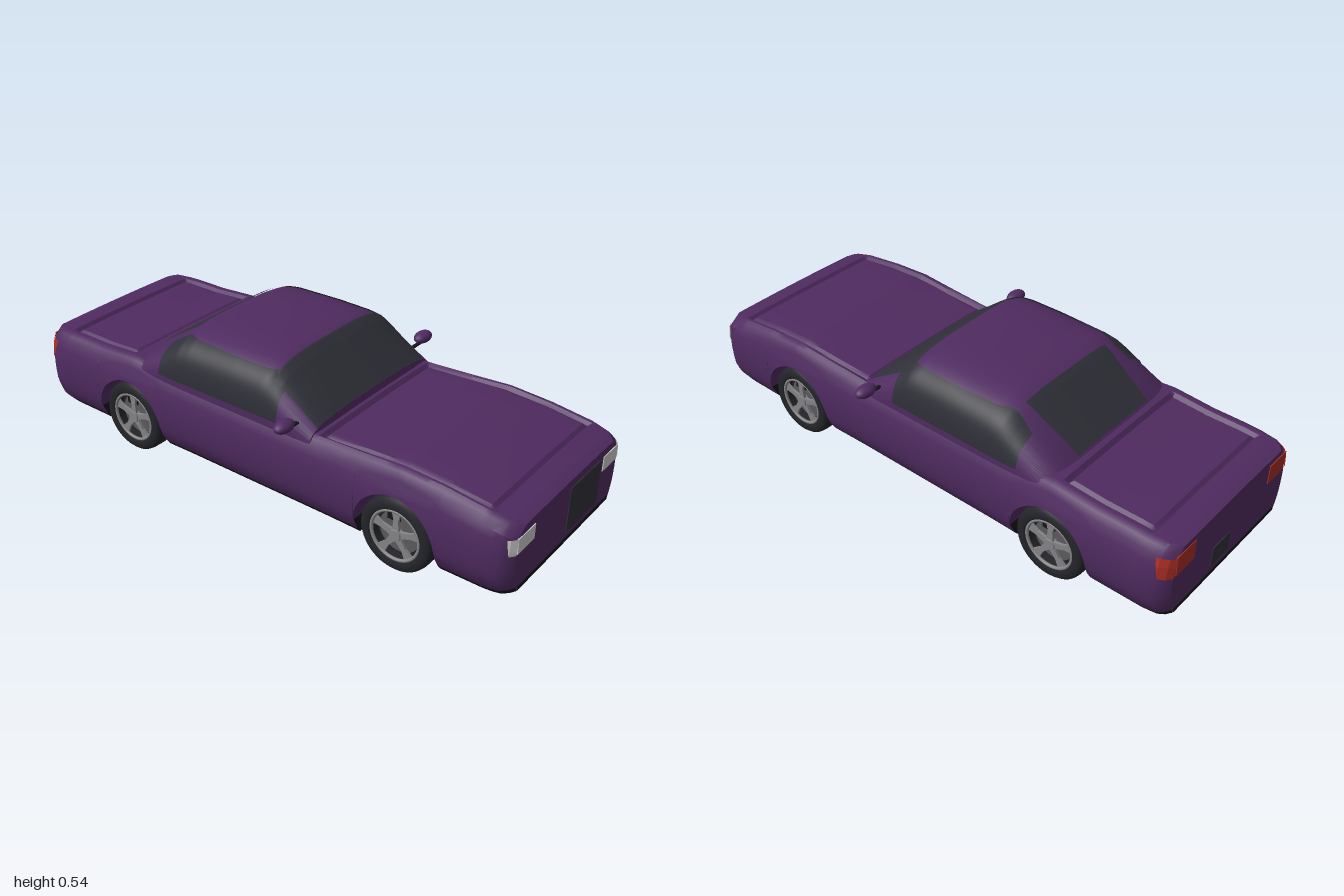
import * as THREE from 'three';
import { toCreasedNormals } from 'three/addons/utils/BufferGeometryUtils.js';
import { ParametricGeometry } from 'three/addons/geometries/ParametricGeometry.js';

const mat = (name, color, side = THREE.FrontSide) => {
  const m = new THREE.MeshStandardMaterial({ color, side });
  m.name = name;
  return m;
};

// Linear interpolation in a list of [x, value] pairs
function curve(table, x) {
  if (x <= table[0][0]) return table[0][1];
  for (let i = 1; i < table.length; i++) {
    const [x0, v0] = table[i - 1], [x1, v1] = table[i];
    if (x <= x1) return v0 + (v1 - v0) * (x - x0) / (x1 - x0);
  }
  return table[table.length - 1][1];
}

// Closed loft along x. half(x) lists [z, y] from bottom centre over the +z side to top centre.
// group(j, x) picks material 0 or 1 for a half-section segment.
function loft(stations, half, group) {
  const pos = [], tris = [[], []];
  let n = 0, m = 0;
  for (const x of stations) {
    const h = half(x);
    m = h.length;
    const loop = [...h, ...h.slice(1, -1).reverse().map(([z, y]) => [-z, y])];
    n = loop.length;
    for (const [z, y] of loop) pos.push(x, y, z);
  }
  const last = stations.length - 1;
  const seg = (j) => (j < m - 1 ? j : n - 1 - j);
  for (let i = 0; i < last; i++) for (let j = 0; j < n; j++) {
    const k = (j + 1) % n, a = i * n + j, b = a + n, c = (i + 1) * n + k, d = i * n + k;
    tris[group(seg(j), (stations[i] + stations[i + 1]) / 2)].push(a, b, c, a, c, d);
  }
  for (const i of [0, last]) {
    const c = pos.length / 3;
    pos.push(stations[i], 0.2 + (pos[i * n * 3 + 1] > 0.2 ? 0.12 : 0), 0);
    for (let j = 0; j < n; j++) {
      const a = i * n + j, b = i * n + (j + 1) % n;
      tris[0].push(c, ...(i ? [b, a] : [a, b]));
    }
  }
  const g = new THREE.BufferGeometry();
  g.setAttribute('position', new THREE.Float32BufferAttribute(pos, 3));
  g.setIndex([...tris[0], ...tris[1]]);
  g.addGroup(0, tris[0].length, 0);
  g.addGroup(tris[0].length, tris[1].length, 1);
  return toCreasedNormals(g, 0.6);
}

// Body rules
const AXLES = [-0.565, 0.595], ARCH = 0.152, AXLE_Y = 0.135;
const TOP = [[-1, 0.352], [-0.97, 0.36], [-0.85, 0.366], [-0.72, 0.366], [-0.56, 0.377], [-0.4, 0.365], [0.27, 0.358],
  [0.45, 0.367], [0.6, 0.376], [0.75, 0.368], [0.9, 0.35], [0.97, 0.335], [1, 0.322]];
const PLAN = [[-1, 0.88], [-0.985, 0.935], [-0.96, 0.975], [-0.9, 0.995], [-0.6, 1], [-0.3, 0.985], [0.3, 0.985],
  [0.6, 1], [0.9, 0.995], [0.96, 0.975], [0.985, 0.935], [1, 0.88]];
const SIDE = [[0.065, 0.325], [0.1, 0.352], [0.15, 0.37], [0.2, 0.374], [0.25, 0.373], [0.3, 0.365], [0.34, 0.35], [0.38, 0.335]];
const BOTTOM = [[0.93, 0.065], [1, 0.09]];
const GROOVE = [[-0.012, 0], [0, 0.014], [0.012, 0.004]];
const PANELS = [[0.28, 0.9, 0.3], [-0.9, -0.585, 0.29]];

const bodyZ = (x, y) => curve(PLAN, x) * curve(SIDE, y);
const archAt = (x) => AXLES.find((a) => Math.abs(x - a) <= ARCH + 1e-6);
function topY(x, z) {
  let y = curve(TOP, x) + 0.004 * (1 - (z / 0.32) ** 2);
  for (const [a, b, w] of PANELS) y -= curve(GROOVE, Math.min(x - a, b - x, w - Math.abs(z)));
  return y;
}
function bodyHalf(x) {
  const floor = curve(BOTTOM, Math.abs(x)), axle = archAt(x);
  const low = axle === undefined ? floor : AXLE_Y + Math.sqrt(Math.max(0, ARCH ** 2 - (x - axle) ** 2));
  const sill = Math.max(low, floor + 0.018), shoulder = curve(TOP, x) - 0.03, p = curve(PLAN, x);
  const pts = [[0, floor], [0.24, floor], [0.24, low], [bodyZ(x, low), low]];
  for (let k = 0; k <= 8; k++) {
    const y = sill + (shoulder - sill) * k / 8;
    pts.push([bodyZ(x, y), y]);
  }
  pts.push([0.336 * p, shoulder + 0.021]);
  for (const z of [0.322, 0.312, 0.302, 0.3, 0.29, 0.278, 0.2, 0.1, 0]) pts.push([z * p, topY(x, z * p)]);
  return pts;
}
function bodyStations() {
  const s = [...TOP, ...PLAN].map((p) => p[0]);
  s.push(-0.93, 0.93);
  for (const [a, b] of PANELS) for (const e of [a, b]) s.push(e - 0.012, e, e + 0.012);
  for (const a of AXLES) {
    s.push(a - ARCH - 0.001, a + ARCH + 0.001);
    for (let k = 0; k <= 24; k++) s.push(a - ARCH * Math.cos(Math.PI * k / 24));
  }
  return s.sort((a, b) => a - b).filter((x, i, l) => !i || x - l[i - 1] > 1e-5);
}

// Cabin rules: superellipse sections under a roof line
const ROOF = [[-0.575, 0.345], [-0.56, 0.375], [-0.37, 0.505], [-0.335, 0.525], [-0.29, 0.534], [-0.1, 0.54], [0.03, 0.538],
  [0.07, 0.531], [0.1, 0.511], [0.25, 0.387], [0.258, 0.345]];
const CAB_W = 0.347, CAB_Y = 0.3, CAB_N = 3.8;
const superOther = (v) => Math.max(0, 1 - Math.min(1, Math.abs(v)) ** CAB_N) ** (1 / CAB_N);
const cabinY = (x, z) => CAB_Y + (curve(ROOF, x) - CAB_Y) * superOther(z / CAB_W);
const cabinZ = (x, y) => CAB_W * superOther((y - CAB_Y) / (curve(ROOF, x) - CAB_Y));
function cabinHalf(x) {
  const h = curve(ROOF, x) - CAB_Y, pts = [[0, CAB_Y]];
  for (let k = 0; k <= 28; k++) {
    const t = Math.PI / 2 * k / 28;
    pts.push([k === 28 ? 0 : CAB_W * Math.cos(t) ** (2 / CAB_N), CAB_Y + h * Math.sin(t) ** (2 / CAB_N)]);
  }
  return pts;
}

export function createModel() {
  const car = new THREE.Group();
  car.name = 'car';
  const paint = mat('purplePaint', 0x4f2b60), black = mat('blackTrim', 0x161619);
  const glass = mat('darkGlass', 0x2f3038, THREE.DoubleSide), lamp = mat('whiteLamp', 0xcacaca, THREE.DoubleSide);
  const red = mat('redLamp', 0xa62c24, THREE.DoubleSide), rubber = mat('tyreRubber', 0x242529);
  const alloy = mat('alloy', 0x86868a), steel = mat('brakeSteel', 0x5c5c60);

  const add = (parent, name, geometry, material, x = 0, y = 0, z = 0) => {
    const m = new THREE.Mesh(geometry, material);
    m.name = name;
    m.position.set(x, y, z);
    parent.add(m);
    return m;
  };
  // Thin skin laid over a surface: f(u, v) returns [x, y, z]
  const skin = (name, material, f) =>
    add(car, name, new ParametricGeometry((u, v, t) => t.set(...f(u, v)), 24, 24), material);

  add(car, 'body', loft(bodyStations(), bodyHalf, (j, x) =>
    (j < 2 || (j === 2 && archAt(x) === undefined) || (j === 3 && archAt(x) === undefined) ? 1 : 0)), [paint, black]);
  add(car, 'cabin', loft(ROOF.map((p) => p[0]), cabinHalf, () => 0), [paint, black]);
  for (const s of [-1, 1])
    add(car, 'bumperTrim', new THREE.BoxGeometry(0.004, 0.016, 0.6), black, s, 0.099, 0);

  // Windows
  skin('windshield', glass, (u, v) => {
    const x = 0.065 + 0.185 * u, z = (v * 2 - 1) * 0.303;
    return [x + 0.003, cabinY(x, z) + 0.004, z];
  });
  skin('rearWindow', glass, (u, v) => {
    const x = -0.545 + 0.2 * u, z = (v * 2 - 1) * (0.19 + 0.022 * u);
    return [x - 0.003, cabinY(x, z) + 0.004, z];
  });
  for (const s of [-1, 1]) {
    skin('sideWindow', glass, (u, v) => {
      const x = -0.42 + 0.535 * u, y = 0.362 + v * (Math.min(0.506, curve(ROOF, x) - 0.018) - 0.362);
      return [x, y + 0.002 * v, s * (cabinZ(x, y) + 0.004)];
    });

    // Lamps: flat part plus a wrap around the corner
    add(car, 'headlight', new THREE.BoxGeometry(0.006, 0.055, 0.1), lamp, 1, 0.2675, s * 0.275);
    skin('headlightWrap', lamp, (u, v) => {
      const y = 0.24 + 0.055 * v, x = 0.985 - 0.01 * v + (0.015 + 0.01 * v) * u;
      return [x + 0.003, y, s * (bodyZ(x, y) + 0.003)];
    });
    add(car, 'taillight', new THREE.BoxGeometry(0.006, 0.075, 0.1), red, -1, 0.295, s * 0.268);
    skin('taillightWrap', red, (u, v) => {
      const y = 0.257 + 0.07 * v, x = -1 + (0.037 + 0.018 * v) * u;
      return [x - 0.003, y, s * (bodyZ(x, y) + 0.003)];
    });

    // Door mirrors
    add(car, 'mirror', new THREE.SphereGeometry(1, 24, 16), paint, 0.19, 0.402, s * 0.397).scale.set(0.028, 0.021, 0.043);
    add(car, 'mirrorStalk', new THREE.BoxGeometry(0.012, 0.007, 0.06), black, 0.19, 0.385, s * 0.36);
  }
  add(car, 'grille', new THREE.BoxGeometry(0.006, 0.165, 0.207), glass, 1, 0.2125, -0.1035);
  add(car, 'rearPlate', new THREE.BoxGeometry(0.006, 0.075, 0.1), glass, -1, 0.17, -0.05);

  // Wheels, built facing +z
  const tyre = new THREE.LatheGeometry([[0.092, -0.04], [0.1, -0.047], [0.122, -0.046], [0.132, -0.036], [0.135, -0.02],
    [0.135, 0.02], [0.132, 0.036], [0.122, 0.046], [0.1, 0.047], [0.092, 0.04], [0.092, -0.04]]
    .map(([r, y]) => new THREE.Vector2(r, y)), 48).rotateX(Math.PI / 2);
  const spoke = new THREE.Shape([[-0.013, 0.012], [0.013, 0.012], [0.009, 0.055], [0.017, 0.09], [-0.017, 0.09], [-0.009, 0.055]]
    .map(([x, y]) => new THREE.Vector2(x, y)));
  const spokeGeo = new THREE.ExtrudeGeometry(spoke, { depth: 0.01, bevelEnabled: false });
  for (const ax of AXLES) for (const s of [-1, 1]) {
    const wheel = new THREE.Group();
    wheel.name = 'wheel';
    wheel.position.set(ax, AXLE_Y, s * 0.313);
    if (s < 0) wheel.rotation.y = Math.PI;
    add(wheel, 'tyre', tyre, rubber);
    add(wheel, 'rim', new THREE.TorusGeometry(0.09, 0.006, 8, 48), alloy, 0, 0, 0.038);
    add(wheel, 'wheelBack', new THREE.CylinderGeometry(0.092, 0.092, 0.04, 40).rotateX(Math.PI / 2), rubber, 0, 0, -0.018);
    add(wheel, 'brakeDisc', new THREE.CylinderGeometry(0.076, 0.076, 0.008, 40).rotateX(Math.PI / 2), steel, 0, 0, 0.008);
    add(wheel, 'caliper', new THREE.BoxGeometry(0.045, 0.03, 0.014), black, -0.02, 0.055, 0.014);
    add(wheel, 'hub', new THREE.CylinderGeometry(0.02, 0.024, 0.02, 24).rotateX(Math.PI / 2), alloy, 0, 0, 0.032);
    for (let k = 0; k < 5; k++)
      add(wheel, 'spoke', spokeGeo, alloy, 0, 0, 0.027).rotation.z = k * Math.PI * 0.4;
    car.add(wheel);
  }
  return car;
}
